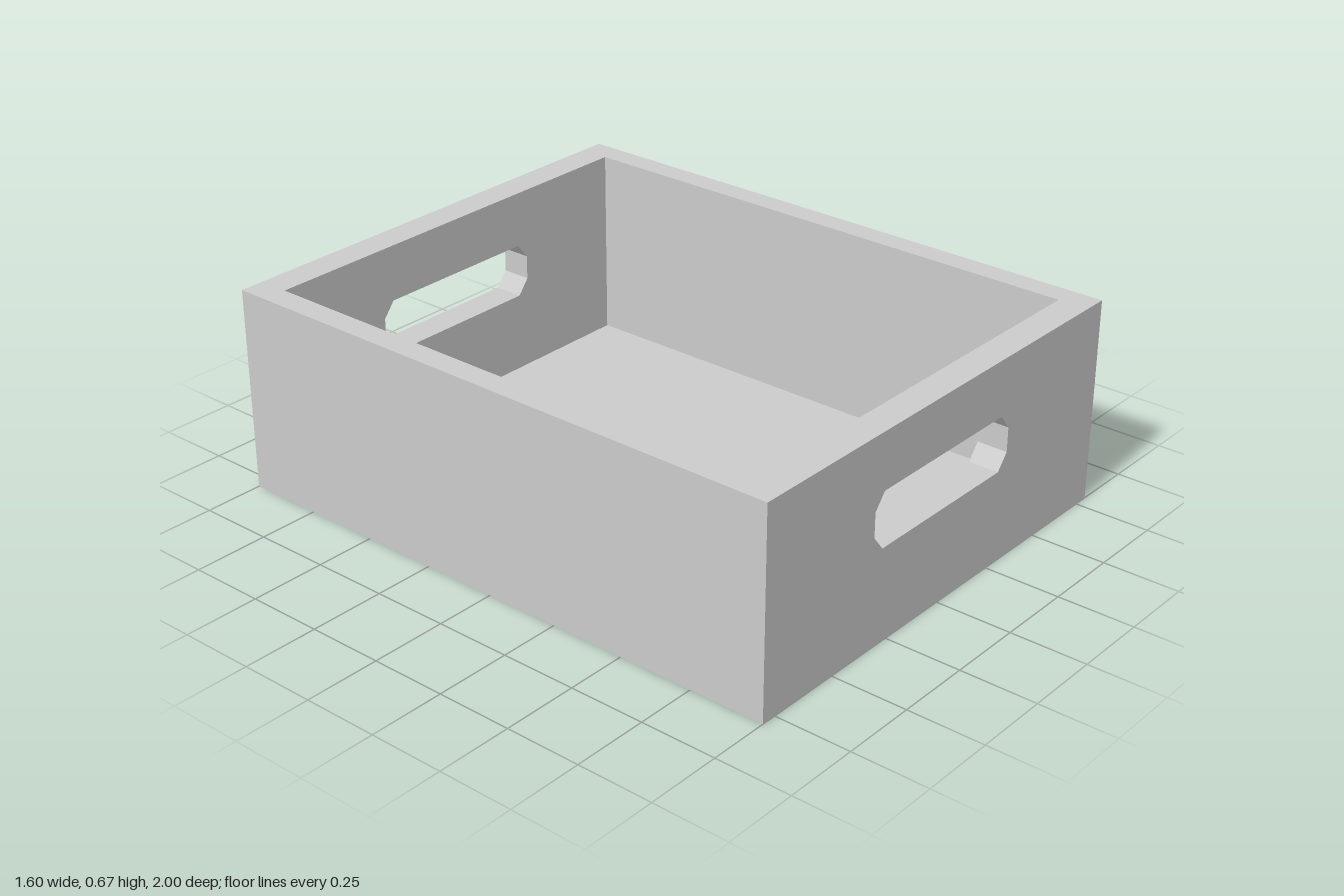
import * as THREE from 'three';

const W = 0.8, H = 0.67, L = 1;            // half width, height, half length
const SIDE = 0.08, END = 0.1, FLOOR = 0.04; // wall and floor thicknesses

const points = (list) => list.map(([x, y]) => new THREE.Vector2(x, y));

export function createModel() {
  const crate = new THREE.Group();
  crate.name = 'crate';
  const material = new THREE.MeshStandardMaterial({ color: 0xcccccc, flatShading: true });

  const addPanel = (name, shape, depth, z) => {
    const geometry = new THREE.ExtrudeGeometry(shape, { depth, bevelEnabled: false });
    const mesh = new THREE.Mesh(geometry, material);
    mesh.name = name;
    mesh.position.z = z;
    crate.add(mesh);
  };

  // Floor and both long walls: one U-shaped section running between the end walls
  const inner = W - SIDE;
  const channel = new THREE.Shape(points([
    [-W, 0], [W, 0], [W, H], [inner, H], [inner, FLOOR], [-inner, FLOOR], [-inner, H], [-W, H],
  ]));
  addPanel('floorAndSideWalls', channel, 2 * (L - END), -(L - END));

  // End walls with a chamfered hand hole
  const endWall = new THREE.Shape(points([[-W, 0], [W, 0], [W, H], [-W, H]]));
  const hx = 0.324, y0 = 0.305, y1 = 0.485, cx = 0.04, cy = 0.05;
  endWall.holes.push(new THREE.Path(points([
    [-hx + cx, y0], [-hx, y0 + cy], [-hx, y1 - cy], [-hx + cx, y1],
    [hx - cx, y1], [hx, y1 - cy], [hx, y0 + cy], [hx - cx, y0],
  ])));
  addPanel('frontWall', endWall, END, L - END);
  addPanel('backWall', endWall, END, -L);

  return crate;
}
